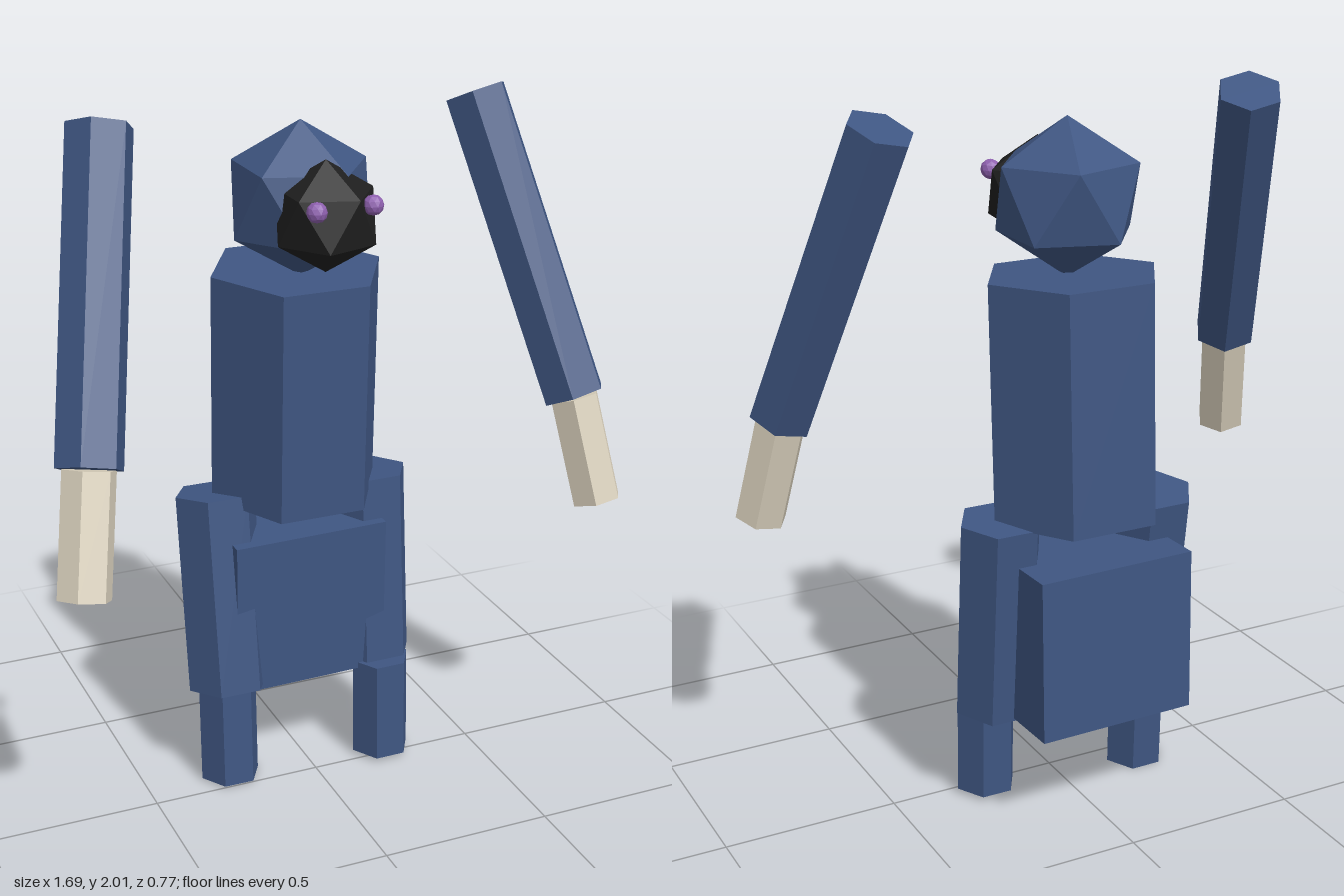
import * as THREE from 'three';

const paint = (name, hex) => {
  const m = new THREE.MeshStandardMaterial({ color: hex });
  m.name = name;
  return m;
};

export function createModel() {
  const group = new THREE.Group();
  const blue = paint('slate blue fur', 0x3f5682);
  const black = paint('black face', 0x1f1f1f);
  const bone = paint('bone hands', 0xddd4c0);
  const violet = paint('violet eyes', 0x8e60ae);

  // Faceted mesh: every triangle keeps its own normal
  const add = (name, geometry, material, pos) => {
    const g = geometry.index ? geometry.toNonIndexed() : geometry;
    g.computeVertexNormals();
    const mesh = new THREE.Mesh(g, material);
    mesh.name = name;
    mesh.position.set(...pos);
    group.add(mesh);
    return mesh;
  };

  // Six-sided prism running between two points, corners towards +-x
  const up = new THREE.Vector3(0, 1, 0);
  const prism = (name, top, bottom, radius, material) => {
    const a = new THREE.Vector3(...top);
    const b = new THREE.Vector3(...bottom);
    const axis = a.clone().sub(b);
    const g = new THREE.CylinderGeometry(radius, radius, axis.length(), 6);
    g.rotateY(Math.PI / 6);
    const mesh = add(name, g, material, a.add(b).multiplyScalar(0.5).toArray());
    mesh.quaternion.setFromUnitVectors(up, axis.normalize());
    return mesh;
  };

  // Icosahedral ball standing on one of its points
  const ball = (name, radius, detail, material, pos) => {
    const g = new THREE.IcosahedronGeometry(radius, detail);
    g.rotateZ(-Math.atan(2 / (1 + Math.sqrt(5))));
    return add(name, g, material, pos);
  };

  // Trunk
  prism('torso', [-0.008, 1.53, -0.12], [-0.008, 0.865, -0.147], 0.25, blue);
  const pelvis = add('pelvis', new THREE.BoxGeometry(0.465, 0.465, 0.365), blue, [-0.012, 0.538, -0.192]);
  pelvis.rotation.set(0.02, 0.025, 0);

  // Head, face and eyes
  ball('head', 0.215, 0, blue, [-0.007, 1.73, -0.09]);
  ball('face', 0.152, 0, black, [0, 1.718, 0.065]);
  ball('rightEye', 0.028, 1, violet, [-0.075, 1.765, 0.182]);
  ball('leftEye', 0.028, 1, violet, [0.089, 1.765, 0.17]);

  // Arms: shoulder, wrist and fingertip points
  const arms = {
    right: [[-0.55, 1.97, -0.12], [-0.72, 1.18, 0.23], [-0.775, 0.865, 0.322]],
    left: [[0.537, 1.965, -0.138], [0.717, 1.15, 0.175], [0.767, 0.85, 0.245]],
  };
  for (const [side, [shoulder, wrist, tip]] of Object.entries(arms)) {
    prism(side + 'Arm', shoulder, wrist, 0.092, blue);
    prism(side + 'Hand', wrist, tip, 0.073, bone);
  }

  // Legs: thigh top and bottom, shin top and bottom
  const legs = {
    right: [[-0.245, 0.885, -0.155], [-0.247, 0.31, -0.07], [-0.245, 0.32, -0.085], [-0.247, 0.008, -0.07]],
    left: [[0.225, 0.88, -0.15], [0.227, 0.305, -0.107], [0.222, 0.32, -0.035], [0.224, 0.016, -0.03]],
  };
  for (const [side, [hip, knee, shinTop, foot]] of Object.entries(legs)) {
    prism(side + 'Thigh', hip, knee, 0.119, blue);
    prism(side + 'Shin', shinTop, foot, 0.088, blue);
  }

  return group;
}
